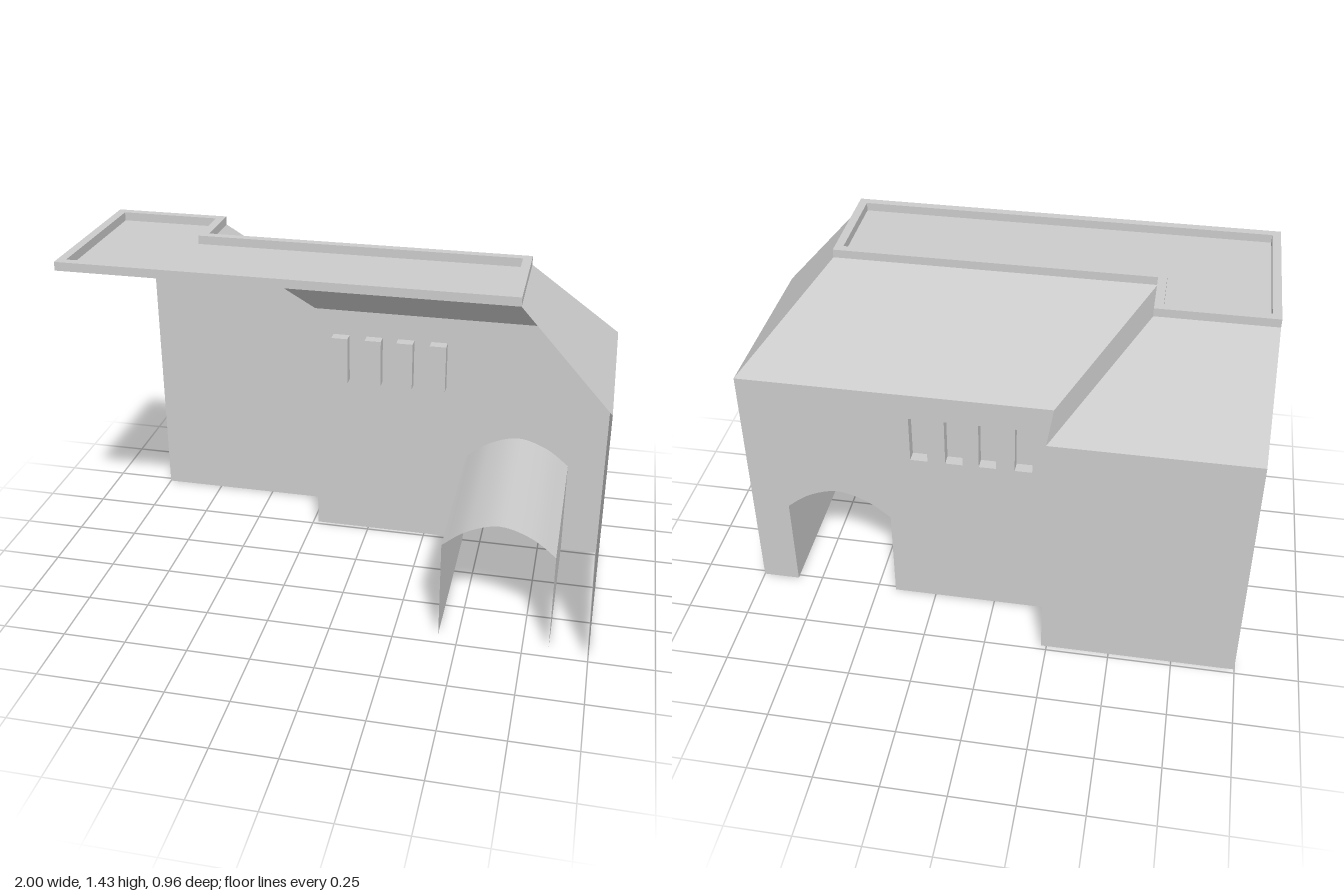
import * as THREE from 'three';

const material = new THREE.MeshStandardMaterial({ color: 0xcccccc, side: THREE.DoubleSide, flatShading: true });
const smooth = new THREE.MeshStandardMaterial({ color: 0xcccccc, side: THREE.DoubleSide });

const EAVE = 1.028, ROOF = 1.4, TOP = 1.433;
const WALL_Z = -0.267, FRONT_Z = 0.48, TUNNEL_Z = 0.445;

// Outlines as [x, z], running from the front right corner round the back
const eaves = [[1, FRONT_Z], [1, WALL_Z], [-0.228, WALL_Z], [-0.228, -0.48], [-1, -0.48]];
const rim = [[0.668, FRONT_Z], [0.668, 0.06], [-0.556, 0.06], [-0.556, -0.155], [-1, -0.155]];

export function createModel() {
  const model = new THREE.Group();

  const add = (name, geometry, parent = model, mat = material) => {
    const mesh = new THREE.Mesh(geometry, mat);
    mesh.name = name;
    parent.add(mesh);
    return mesh;
  };

  // Flat four-cornered panel
  const quad = (a, b, c, d) => {
    const g = new THREE.BufferGeometry();
    g.setAttribute('position', new THREE.Float32BufferAttribute([a, b, c, a, c, d].flat(), 3));
    g.computeVertexNormals();
    return g;
  };

  // Plan outline to shape: z is flipped so that it can be laid flat
  const planPoints = pts => pts.map(([x, z]) => new THREE.Vector2(x, -z));

  // Plain walls and the sloping roof above every stretch of the eaves
  for (let i = 0; i < eaves.length - 1; i++) {
    const [ax, az] = eaves[i], [bx, bz] = eaves[i + 1];
    const [cx, cz] = rim[i], [dx, dz] = rim[i + 1];
    add('roofSlope', quad([ax, EAVE, az], [bx, EAVE, bz], [dx, ROOF, dz], [cx, ROOF, cz]));
    if (i !== 1) add('wall', quad([ax, 0, az], [bx, 0, bz], [bx, EAVE, bz], [ax, EAVE, az]));
  }

  // Wall with the archway and the window openings
  const x0 = 0.423, x1 = 0.85, mid = (x0 + x1) / 2, spring = 0.408;
  const arch = new THREE.SplineCurve([
    [x0, spring], [mid - 0.12, 0.479], [mid, 0.516], [mid + 0.12, 0.479], [x1, spring],
  ].map(p => new THREE.Vector2(...p))).getPoints(24);
  const wallShape = new THREE.Shape([
    new THREE.Vector2(-0.228, 0), new THREE.Vector2(x0, 0), ...arch, new THREE.Vector2(x1, 0),
    new THREE.Vector2(1, 0), new THREE.Vector2(1, EAVE), new THREE.Vector2(-0.228, EAVE),
  ]);

  // Recessed windows: a hole in the wall with a box closed on the inside
  const w = 0.068, y0 = 0.72, y1 = 0.92, depth = 0.045;
  for (const x of [-0.151, -0.011, 0.121, 0.259]) {
    const corners = [[x, y0], [x + w, y0], [x + w, y1], [x, y1]];
    wallShape.holes.push(new THREE.Path(corners.map(p => new THREE.Vector2(...p))));
    const recess = new THREE.Group();
    recess.name = 'windowRecess';
    model.add(recess);
    corners.forEach((p, i) => {
      const q = corners[(i + 1) % 4];
      add('windowReveal', quad([...p, WALL_Z], [...p, WALL_Z + depth], [...q, WALL_Z + depth], [...q, WALL_Z]), recess);
    });
    add('windowBack', quad(...corners.map(p => [...p, WALL_Z + depth]).reverse()), recess);
  }
  add('archWall', new THREE.ShapeGeometry(wallShape).rotateY(Math.PI).scale(-1, 1, 1).translate(0, 0, WALL_Z));

  // Passage behind the arch: two side walls and a smooth vault
  for (const x of [x0, x1]) {
    add('passageWall', quad([x, 0, WALL_Z], [x, 0, TUNNEL_Z], [x, spring, TUNNEL_Z], [x, spring, WALL_Z]));
  }
  const vault = new THREE.PlaneGeometry(1, 1, arch.length - 1, 1);
  const pos = vault.attributes.position;
  for (let i = 0; i < pos.count; i++) {
    const p = arch[i % arch.length];
    pos.setXYZ(i, p.x, p.y, i < arch.length ? TUNNEL_Z : WALL_Z);
  }
  vault.computeVertexNormals();
  add('passageVault', vault, model, smooth);

  // Flat roof and the low parapet round it
  const t = 0.033;
  const outline = [[-1, FRONT_Z], ...rim];
  const inner = [
    [-1 + t, FRONT_Z - t], [0.668 - t, FRONT_Z - t], [0.668 - t, 0.06 + t],
    [-0.556 - t, 0.06 + t], [-0.556 - t, -0.155 + t], [-1 + t, -0.155 + t],
  ];
  add('flatRoof', new THREE.ShapeGeometry(new THREE.Shape(planPoints(inner)))
    .rotateX(-Math.PI / 2).translate(0, ROOF, 0));
  const parapet = new THREE.Shape(planPoints(outline));
  parapet.holes.push(new THREE.Path(planPoints(inner)));
  add('parapet', new THREE.ExtrudeGeometry(parapet, { depth: TOP - ROOF, bevelEnabled: false })
    .rotateX(-Math.PI / 2).translate(0, ROOF, 0));

  return model;
}
